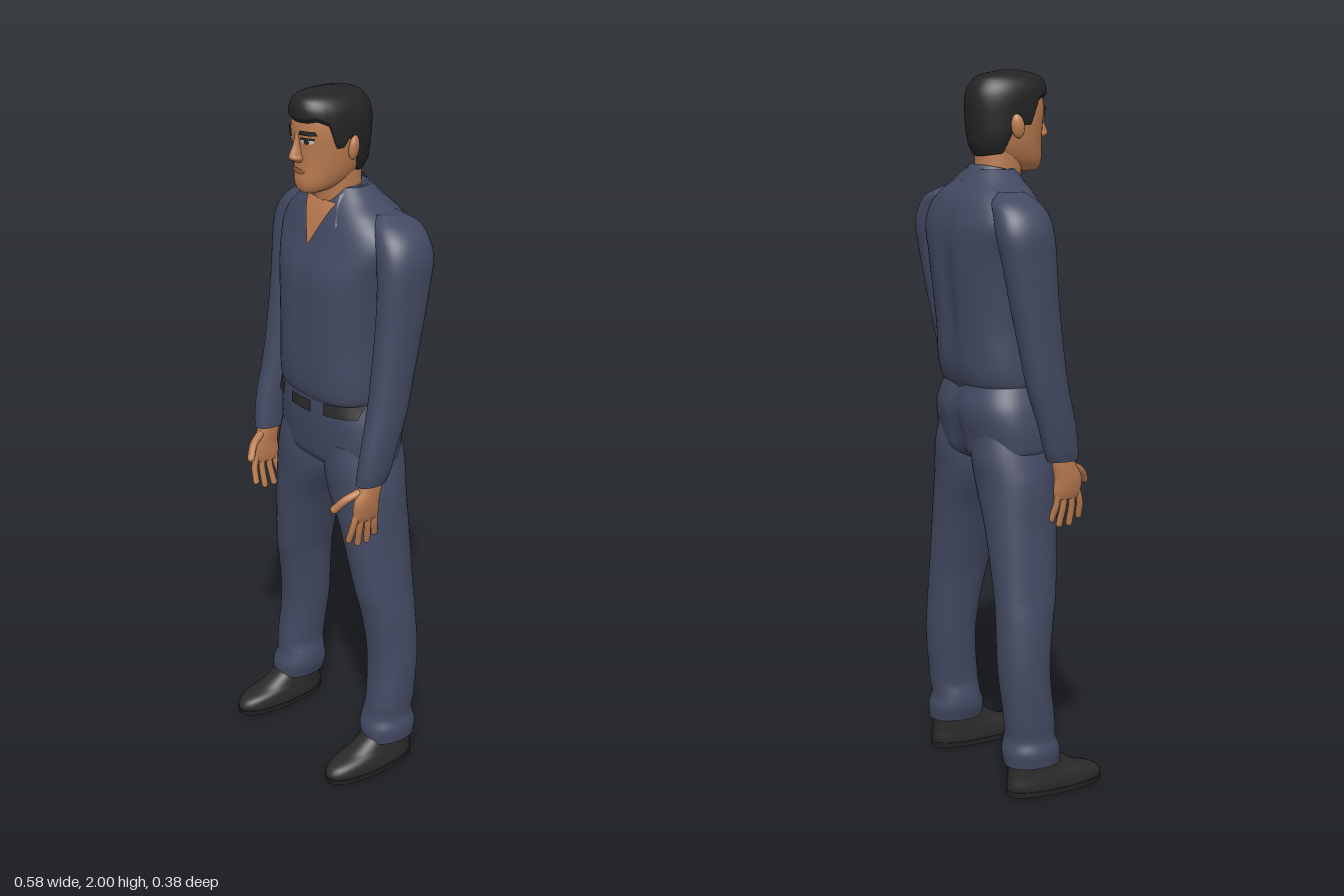
import * as THREE from 'three';

const mat = (name, color, side = THREE.FrontSide) => {
  const m = new THREE.MeshStandardMaterial({ color, side });
  m.name = name;
  return m;
};

// A row is [y, centre x, half width, front z, back z]; rows run upwards.
// Smooth interpolation of the rows at height y.
function section(rows, y) {
  const last = rows.length - 1;
  let i = 0;
  while (i < last - 1 && y > rows[i + 1][0]) i++;
  const h = rows[i + 1][0] - rows[i][0];
  const t = Math.min(1, Math.max(0, (y - rows[i][0]) / h));
  const slope = (k, c) => {
    const a = rows[Math.max(0, k - 1)], b = rows[Math.min(last, k + 1)];
    return (b[c] - a[c]) / (b[0] - a[0]);
  };
  const f = (c) => {
    const p = rows[i][c], q = rows[i + 1][c], t2 = t * t, t3 = t2 * t;
    return p * (2 * t3 - 3 * t2 + 1) + q * (3 * t2 - 2 * t3)
      + h * (slope(i, c) * (t3 - 2 * t2 + t) + slope(i + 1, c) * (t3 - t2));
  };
  const zf = f(3), zb = f(4);
  return { x: f(1), rx: Math.max(0.003, f(2)), z: (zf + zb) / 2, rz: Math.max(0.003, (zf - zb) / 2) };
}

const pow = (v, n) => Math.sign(v) * Math.abs(v) ** (2 / n);

function geometry(pos, idx) {
  const g = new THREE.BufferGeometry();
  g.setAttribute('position', new THREE.Float32BufferAttribute(pos, 3));
  g.setIndex(idx);
  g.computeVertexNormals();
  return g;
}

// Closed skin over the rows; low(sinA) gives an uneven lower edge, shape bends vertices.
function loft(rows, { n = 2.2, seg = 40, per = 5, low = null, shape = null, caps = true } = {}) {
  const pos = [], idx = [], rings = (rows.length - 1) * per;
  const yTop = rows[rows.length - 1][0];
  for (let i = 0; i <= rings; i++) {
    const k = Math.min(rows.length - 2, Math.floor(i / per));
    const yRow = rows[k][0] + (rows[k + 1][0] - rows[k][0]) * (i / per - k);
    for (let j = 0; j < seg; j++) {
      const a = (j / seg) * Math.PI * 2, sa = Math.sin(a);
      let y = yRow, shrink = 1;
      if (low) {
        const v = i / rings;
        y = low(sa) + (yTop - low(sa)) * (1 - (1 - v) ** 1.5);
        shrink = 1 - 0.07 * Math.max(0, 1 - v * 12);
      }
      const s = section(rows, y);
      const p = [s.x + s.rx * shrink * pow(Math.cos(a), n), y, s.z + s.rz * shrink * pow(sa, n)];
      if (shape) shape(p, sa);
      pos.push(...p);
    }
  }
  for (let i = 0; i < rings; i++) for (let j = 0; j < seg; j++) {
    const a = i * seg + j, b = i * seg + (j + 1) % seg;
    idx.push(a, a + seg, b, b, a + seg, b + seg);
  }
  if (caps) for (const ring of [0, rings]) {
    const start = pos.length / 3, s = section(rows, ring ? yTop : rows[0][0]);
    pos.push(...pos.slice(ring * seg * 3, (ring + 1) * seg * 3), s.x, ring ? yTop : rows[0][0], s.z);
    for (let j = 0; j < seg; j++) {
      const a = start + j, b = start + (j + 1) % seg;
      idx.push(...(ring ? [a, start + seg, b] : [a, b, start + seg]));
    }
  }
  return geometry(pos, idx);
}

// Grid of points fn(u, v), with u and v from 0 to 1.
function grid(fn, nu, nv) {
  const pos = [], idx = [];
  for (let i = 0; i <= nv; i++) for (let j = 0; j <= nu; j++) pos.push(...fn(j / nu, i / nv));
  for (let i = 0; i < nv; i++) for (let j = 0; j < nu; j++) {
    const a = i * (nu + 1) + j, c = a + nu + 1;
    idx.push(a, a + 1, c, a + 1, c + 1, c);
  }
  return geometry(pos, idx);
}

// Thin plate lying on the front of a lofted body between y0 and y1.
function patch(rows, n, y0, y1, cx, half, off) {
  return grid((u, v) => {
    const y = y0 + (y1 - y0) * v, x = cx + half(v) * (2 * u - 1), s = section(rows, y);
    const r = Math.min(1, Math.abs((x - s.x) / s.rx));
    return [x, y, s.z + s.rz * (1 - r ** n) ** (1 / n) + off];
  }, 12, 10);
}
const oval = (w) => (v) => w * Math.sqrt(Math.max(0, 1 - (2 * v - 1) ** 2));

export function createModel() {
  const model = new THREE.Group();
  const cloth = mat('navy cloth', 0x424961, THREE.DoubleSide);
  const skin = mat('skin', 0xb97a4f, THREE.DoubleSide);
  const hairMat = mat('black hair', 0x242424, THREE.DoubleSide);
  const leather = mat('black leather', 0x2a2a2a, THREE.DoubleSide);
  const white = mat('eye white', 0xc9c4bc, THREE.DoubleSide);
  const lipMat = mat('lips', 0x945a40, THREE.DoubleSide);
  const add = (name, geo, material) => {
    const m = new THREE.Mesh(geo, material);
    m.name = name;
    model.add(m);
    return m;
  };

  // Shirt body with a groove along the spine and a soft fold at the waist
  const torso = [[1.135, 0, 0.168, 0.095, -0.14], [1.16, 0, 0.178, 0.108, -0.154], [1.21, 0, 0.18, 0.114, -0.166],
    [1.3, 0, 0.177, 0.115, -0.172], [1.4, 0, 0.182, 0.114, -0.182], [1.5, 0, 0.195, 0.107, -0.19],
    [1.58, 0, 0.218, 0.08, -0.188], [1.63, 0, 0.205, 0.064, -0.174], [1.67, 0, 0.165, 0.05, -0.155],
    [1.7, 0, 0.12, 0.036, -0.128], [1.735, 0, 0.078, 0.015, -0.1]];
  add('shirt', loft(torso, {
    n: 2.5, seg: 64, shape: (p, sa) => {
      const w = Math.exp(-(((p[1] - 1.42) / 0.17) ** 2));
      if (sa < 0) p[2] += 0.016 * w * Math.exp(-((p[0] / 0.03) ** 2));
      else p[2] -= 0.006 * w * Math.exp(-((p[0] / 0.025) ** 2));
    },
  }), cloth);
  add('openNeckline', patch(torso, 2.5, 1.58, 1.7, 0, (v) => 0.002 + 0.06 * v, 0.005), skin);

  // Folded collar around the back of the neck
  add('collar', grid((u, v) => {
    const t = 2 * u - 1, a = t * 2.25, e = Math.abs(t), r = v;
    return [Math.sin(a) * (0.072 + 0.036 * r), 1.748 - 0.03 * e * e - r * (0.045 + 0.03 * e ** 4),
      -0.022 - Math.cos(a) * (0.072 + 0.034 * r) + 0.012 * r * e ** 4];
  }, 40, 5), cloth);

  // Hips and belt pieces
  const hips = [[0.92, 0, 0.09, 0.03, -0.09], [0.95, 0, 0.19, 0.078, -0.135], [1.0, 0, 0.208, 0.09, -0.15],
    [1.08, 0, 0.2, 0.098, -0.165], [1.15, 0, 0.174, 0.099, -0.148]];
  add('trouserSeat', loft(hips, {
    n: 2.4, seg: 56, shape: (p, sa) => { if (sa < 0) p[2] += 0.014 * Math.exp(-((p[0] / 0.025) ** 2)); },
  }), cloth);
  add('beltBuckle', patch(hips, 2.4, 1.108, 1.143, 0, () => 0.043, 0.012), leather);

  for (const s of [1, -1]) {
    const side = s > 0 ? 'left' : 'right';
    const mirror = (rows) => rows.map(([y, x, ...rest]) => [y, s * x, ...rest]);
    add(side + 'BeltPiece', patch(hips, 2.4, 1.112, 1.148, s * 0.132, () => 0.042, 0.012), leather);

    // Trouser leg with a gathered hem
    add(side + 'TrouserLeg', loft(mirror([[0.09, 0.222, 0.064, 0.046, -0.117], [0.13, 0.218, 0.072, 0.046, -0.12],
      [0.165, 0.214, 0.066, 0.034, -0.112], [0.21, 0.22, 0.062, 0.03, -0.116], [0.36, 0.212, 0.068, 0.017, -0.13],
      [0.5, 0.2, 0.068, 0.035, -0.13], [0.57, 0.19, 0.068, 0.05, -0.13], [0.76, 0.152, 0.085, 0.07, -0.135],
      [0.88, 0.118, 0.108, 0.08, -0.14], [0.95, 0.107, 0.102, 0.085, -0.147], [1.02, 0.1, 0.09, 0.08, -0.14]])), cloth);

    // Shoe and sole
    add(side + 'Shoe', loft(mirror([[0.012, 0.223, 0.054, 0.186, -0.112], [0.03, 0.223, 0.055, 0.187, -0.113],
      [0.05, 0.222, 0.053, 0.165, -0.11], [0.07, 0.221, 0.049, 0.105, -0.108], [0.11, 0.22, 0.045, 0.04, -0.105]]),
    { n: 2.3 }), leather);
    add(side + 'Sole', loft(mirror([[0, 0.223, 0.055, 0.186, -0.113], [0.016, 0.223, 0.057, 0.19, -0.115]]),
      { n: 2.3, per: 2 }), hairMat);

    // Sleeve from cuff to shoulder
    add(side + 'Sleeve', loft(mirror([[0.95, 0.238, 0.03, 0.096, 0.004], [0.98, 0.241, 0.034, 0.094, -0.008],
      [1.05, 0.244, 0.038, 0.083, -0.028], [1.15, 0.242, 0.044, 0.06, -0.06], [1.25, 0.24, 0.046, 0.045, -0.082],
      [1.4, 0.238, 0.05, 0.028, -0.115], [1.5, 0.236, 0.053, 0.022, -0.135], [1.57, 0.229, 0.058, 0.018, -0.148],
      [1.62, 0.212, 0.057, 0.01, -0.145], [1.655, 0.185, 0.05, -0.005, -0.135], [1.68, 0.155, 0.03, -0.03, -0.1]])), cloth);

    // Hand: palm, four fingers and thumb
    add(side + 'Palm', loft(mirror([[0.84, 0.235, 0.011, 0.1, 0.028], [0.86, 0.237, 0.016, 0.108, 0.023],
      [0.9, 0.24, 0.02, 0.108, 0.024], [0.94, 0.24, 0.022, 0.088, 0.018], [0.99, 0.24, 0.022, 0.07, 0.018]]),
    { seg: 20 }), skin);
    const finger = (name, pts, r) => {
      const c = new THREE.CatmullRomCurve3(pts.map(([x, y, z]) => new THREE.Vector3(s * x, y, z)));
      add(name, new THREE.TubeGeometry(c, 8, r, 8), skin);
      const tip = pts[pts.length - 1];
      add(name + 'Tip', new THREE.SphereGeometry(r, 8, 6).translate(s * tip[0], tip[1], tip[2]), skin);
    };
    [[0.035, 0.024, 0.782], [0.055, 0.05, 0.766], [0.077, 0.082, 0.766], [0.097, 0.113, 0.785]].forEach(([z0, z1, y], i) =>
      finger(side + 'Finger' + (i + 1), [[0.237, 0.87, z0], [0.234, 0.825, (z0 + z1) / 2 + 0.004], [0.222, y, z1]], 0.0095));
    finger(side + 'Thumb', [[0.234, 0.93, 0.085], [0.218, 0.91, 0.122], [0.198, 0.88, 0.146]], 0.0115);
  }

  // Neck and head
  add('neck', loft([[1.6, 0, 0.062, 0.03, -0.08], [1.69, 0, 0.06, 0.042, -0.082], [1.78, 0, 0.06, 0.055, -0.08]]), skin);
  const head = [[1.727, 0, 0.026, 0.1, 0.03], [1.737, 0, 0.043, 0.109, 0.005], [1.76, 0, 0.06, 0.114, -0.045],
    [1.8, 0, 0.073, 0.112, -0.085], [1.85, 0, 0.08, 0.114, -0.098], [1.9, 0, 0.081, 0.118, -0.1],
    [1.95, 0, 0.073, 0.104, -0.088], [1.98, 0, 0.045, 0.07, -0.055]];
  add('head', loft(head), skin);
  add('nose', loft([[1.813, 0, 0.011, 0.122, 0.09], [1.824, 0, 0.018, 0.14, 0.09], [1.834, 0, 0.014, 0.141, 0.09],
    [1.86, 0, 0.01, 0.129, 0.09], [1.892, 0, 0.012, 0.119, 0.09]], { n: 2, seg: 20 }), skin);
  add('lips', patch(head, 2.2, 1.781, 1.797, 0, oval(0.027), 0.003), lipMat);
  for (const s of [1, -1]) {
    const side = s > 0 ? 'left' : 'right';
    add(side + 'Eye', patch(head, 2.2, 1.866, 1.88, s * 0.035, oval(0.016), 0.002), white);
    add(side + 'Iris', patch(head, 2.2, 1.866, 1.88, s * 0.035, oval(0.007), 0.004), hairMat);
    add(side + 'UpperLash', patch(head, 2.2, 1.878, 1.884, s * 0.036, () => 0.018, 0.004), hairMat);
    add(side + 'Eyebrow', patch(head, 2.2, 1.89, 1.902, s * 0.037, (v) => 0.023 - 0.005 * v, 0.005), hairMat);
    const ear = add(side + 'Ear', new THREE.SphereGeometry(1, 16, 12), skin);
    ear.scale.set(0.012, 0.033, 0.019);
    ear.position.set(s * 0.087, 1.85, -0.004);
    ear.rotation.set(-0.15, s * 0.35, 0);
  }

  // Hair with hairline, sideburns and nape
  const line = [[-1, 1.77], [-0.45, 1.778], [-0.2, 1.82], [-0.02, 1.875], [0.12, 1.845], [0.34, 1.845],
    [0.5, 1.915], [0.75, 1.93], [1.01, 1.922]];
  const low = (f) => {
    let i = 0;
    while (i < line.length - 2 && f > line[i + 1][0]) i++;
    return THREE.MathUtils.mapLinear(f, line[i][0], line[i + 1][0], line[i][1], line[i + 1][1]);
  };
  add('hair', loft([[1.74, 0, 0.058, 0.1, -0.083], [1.8, 0, 0.078, 0.116, -0.1], [1.87, 0, 0.085, 0.12, -0.109],
    [1.93, 0, 0.086, 0.125, -0.109], [1.965, 0, 0.075, 0.122, -0.094], [1.988, 0, 0.05, 0.1, -0.065],
    [2.0, 0, 0.008, 0.04, 0.0]], { low, seg: 96, per: 6 }), hairMat);
  return model;
}
